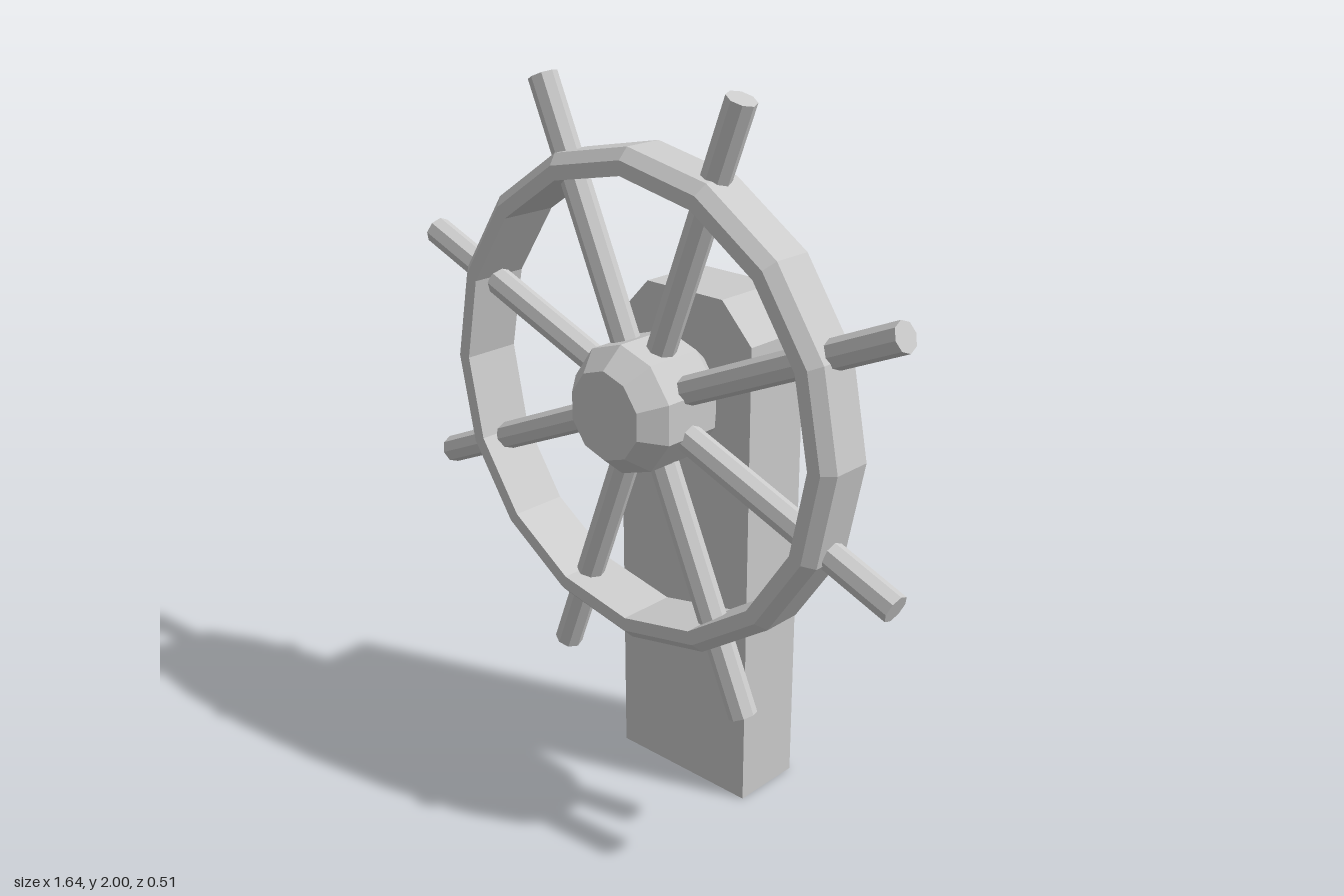
import * as THREE from 'three';

const AXLE_Y = 1.18, AXLE_Z = 0.105;

export function createModel() {
  const model = new THREE.Group();
  model.name = 'shipWheel';
  const material = new THREE.MeshStandardMaterial({ color: 0xcccccc, flatShading: true });

  const add = (parent, name, geometry) => {
    const mesh = new THREE.Mesh(geometry, material);
    mesh.name = name;
    parent.add(mesh);
    return mesh;
  };

  // Lathe turned about the z axis; points are [radius, depth]
  const turned = (points, sides) =>
    new THREE.LatheGeometry(points.map(([r, d]) => new THREE.Vector2(r, d)), sides).rotateX(Math.PI / 2);

  // Post with clipped top corners
  const outline = new THREE.Shape([
    [-0.23, 0], [0.23, 0], [0.23, 1.34], [0.13, 1.445], [-0.13, 1.445], [-0.23, 1.34],
  ].map(([x, y]) => new THREE.Vector2(x, y)));
  add(model, 'post', new THREE.ExtrudeGeometry(outline, { depth: 0.21, bevelEnabled: false }))
    .position.z = -0.253;

  const wheel = new THREE.Group();
  wheel.name = 'wheel';
  wheel.position.set(0, AXLE_Y, AXLE_Z);
  model.add(wheel);

  // Rim: flat inside, chamfered outer edges
  add(wheel, 'rim', turned([
    [0.597, -0.083], [0.635, -0.083], [0.664, -0.055], [0.664, 0.055],
    [0.635, 0.083], [0.597, 0.083], [0.597, -0.083],
  ], 16));

  // Hub: drum tapering at both ends
  add(wheel, 'hub', turned([
    [0, -0.148], [0.12, -0.148], [0.174, -0.085], [0.174, 0.085], [0.12, 0.148], [0, 0.148],
  ], 10));

  // Eight spokes whose ends form the handles
  const inner = 0.1, outer = 0.864;
  const spoke = new THREE.CylinderGeometry(0.039, 0.039, outer - inner, 8)
    .translate(0, (inner + outer) / 2, 0);
  for (let i = 0; i < 8; i++) {
    add(wheel, `spoke${i + 1}`, spoke).rotation.z = THREE.MathUtils.degToRad(23.9 + i * 45);
  }

  return model;
}
